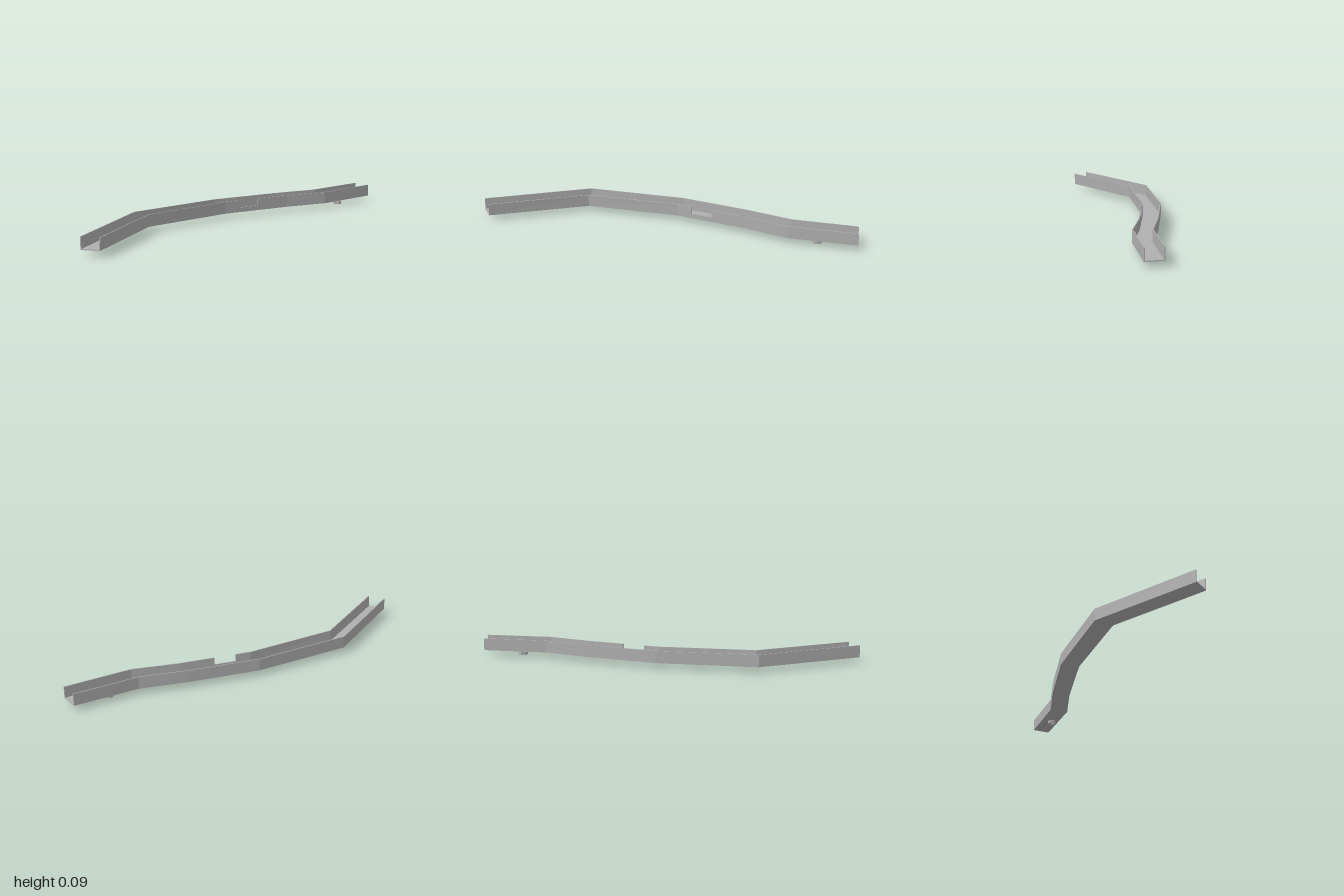
import * as THREE from 'three';

const grey = new THREE.MeshStandardMaterial({ color: 0xb0b0b0 });
grey.name = 'grey metal';

const FLOOR = 0.027, TOP = 0.091, SILL = 0.052, WALL = 0.005;

// Plan stations along the gutter: [back x, back z, front x, front z, inward lean of the wall foot]
const stations = [
  [-1, 0.11, -0.94, 0.189, 0.005],
  [-0.497, -0.192, -0.476, -0.088, 0.003],
  [0.032, -0.192, 0.027, -0.093, 0],
  [0.406, -0.12, 0.406, -0.022, 0],
  [0.647, -0.058, 0.642, 0.042, 0],
  [0.989, -0.058, 1, 0.038, 0],
];

// Station part-way between two others, where the front edge reaches x
function stationAt(a, b, x) {
  const t = (x - a[2]) / (b[2] - a[2]);
  return a.map((v, i) => v + (b[i] - v) * t);
}

// U-shaped section, from the back rim down, across and up to the front rim, then back inside
function section([bx, bz, fx, fz, lean], frontTop) {
  const back = new THREE.Vector2(bx, bz), front = new THREE.Vector2(fx, fz);
  const across = front.clone().sub(back).normalize();
  const at = (base, d, y) => new THREE.Vector3(base.x + across.x * d, y, base.y + across.y * d);
  const slope = lean * (TOP - frontTop) / (TOP - FLOOR);
  return [
    at(back, 0, TOP), at(back, 0, FLOOR), at(front, -lean, FLOOR), at(front, -slope, frontTop),
    at(front, -slope - WALL, frontTop), at(front, -lean - WALL, FLOOR + WALL),
    at(back, WALL, FLOOR + WALL), at(back, WALL, TOP),
  ];
}

function createGutter() {
  const pos = [];
  const quad = (a, b, c, d) => [a, b, c, a, c, d].forEach((p) => pos.push(p.x, p.y, p.z));

  // Add the two sides of the front notch as extra stations
  const [s0, s1, s2, s3, s4, s5] = stations;
  const path = [s0, s1, s2, stationAt(s2, s3, 0.108), stationAt(s2, s3, 0.222), s3, s4, s5];
  const notch = 3;

  for (let i = 0; i < path.length - 1; i++) {
    const h = i === notch ? SILL : TOP;
    const p = section(path[i], h), q = section(path[i + 1], h);
    for (let j = 0; j < 8; j++) {
      const k = (j + 1) % 8;
      quad(p[j], q[j], q[k], p[k]);
    }
  }

  // Open ends: only the sheet thickness is closed
  const cap = (s, flip) => {
    [[0, 1, 6, 7], [1, 2, 5, 6], [2, 3, 4, 5]].forEach((f) => {
      const c = f.map((i) => s[i]);
      quad(...(flip ? c.reverse() : c));
    });
  };
  cap(section(path[0], TOP), false);
  cap(section(path[path.length - 1], TOP), true);

  // Cut edges of the notch
  [notch, notch + 1].forEach((n, side) => {
    const hi = section(path[n], TOP), lo = section(path[n], SILL);
    const c = [lo[4], lo[3], hi[3], hi[4]];
    quad(...(side ? c : c.reverse()));
  });

  const geo = new THREE.BufferGeometry();
  geo.setAttribute('position', new THREE.Float32BufferAttribute(pos, 3));
  geo.computeVertexNormals();
  const mesh = new THREE.Mesh(geo, grey);
  mesh.material.side = THREE.DoubleSide;
  mesh.name = 'gutterChannel';
  return mesh;
}

// Hexagonal collar with a round hole under the low end
function createCollar() {
  const shape = new THREE.Shape();
  for (let i = 0; i < 6; i++) {
    const a = (i / 6) * Math.PI * 2 + Math.PI / 12;
    shape[i ? 'lineTo' : 'moveTo'](Math.cos(a) * 0.0235, Math.sin(a) * 0.0235);
  }
  shape.holes.push(new THREE.Path().absarc(0, 0, 0.013, 0, Math.PI * 2, true));
  const geo = new THREE.ExtrudeGeometry(shape, { depth: 0.016, bevelEnabled: false, curveSegments: 12 });
  geo.rotateX(-Math.PI / 2);
  const mesh = new THREE.Mesh(geo, grey);
  mesh.position.set(0.788, 0, -0.005);
  mesh.name = 'drainCollar';
  return mesh;
}

export function createModel() {
  const model = new THREE.Group();
  model.name = 'bentGutter';
  model.add(createGutter(), createCollar());
  return model;
}
